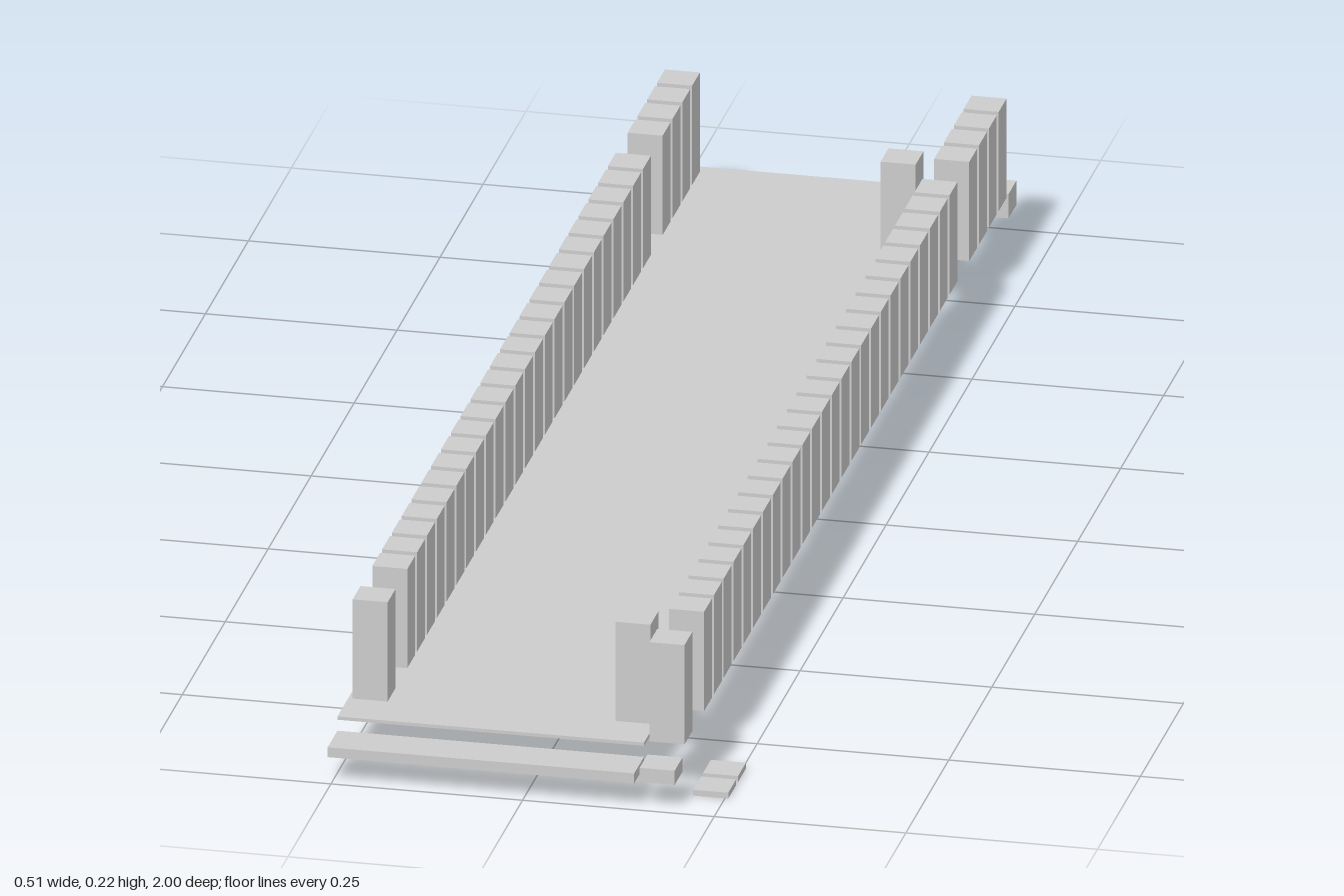
import * as THREE from 'three';

const CELL = 2 / 35;          // grid pitch
const SIZE = CELL * 0.8;      // post footprint
const FLOOR_TOP = 0.0695;
const POST_TOP = 0.206;
const LEFT_EDGE = -0.2543;

const columnX = (j) => LEFT_EDGE + (j + 0.5) * CELL;
const rowZ = (k) => (k - 17) * CELL;

export function createModel() {
  const model = new THREE.Group();
  model.name = 'postLinedWalkway';
  const grey = new THREE.MeshStandardMaterial({ color: 0xcccccc });
  grey.name = 'light grey';

  // Box spanning y0..y1, centred on x and z
  function block(name, x, z, width, depth, y0, y1, parent = model) {
    const mesh = new THREE.Mesh(new THREE.BoxGeometry(width, y1 - y0, depth), grey);
    mesh.name = name;
    mesh.position.set(x, (y0 + y1) / 2, z);
    parent.add(mesh);
  }
  const cell = (name, j, k, y0, y1, parent) =>
    block(name, columnX(j), rowZ(k), SIZE, SIZE, y0, y1, parent);

  // Floor and the lower sill at each end
  const floorX = LEFT_EDGE + 3.5 * CELL;
  block('floor', floorX, 0, 7 * CELL, 33 * CELL, 0.065, FLOOR_TOP);
  block('backSill', floorX, rowZ(0), 7 * CELL, CELL, 0.0365, 0.05);
  block('frontSill', floorX, rowZ(34), 7 * CELL, CELL, 0.0365, 0.05);

  // Rows of posts, each with openings
  function postRow(name, j, first, last, gaps) {
    const row = new THREE.Group();
    row.name = name;
    for (let k = first; k <= last; k++) {
      if (!gaps.includes(k)) cell('post', j, k, FLOOR_TOP, POST_TOP, row);
    }
    model.add(row);
  }
  postRow('rightPosts', 0, 1, 32, [5, 31]);
  postRow('leftPosts', 7, 1, 33, [5, 32]);

  // Posts set inward beside the openings
  cell('tallInnerPost', 6, 5, FLOOR_TOP, 0.22);
  cell('innerPost', 6, 32, FLOOR_TOP, POST_TOP);

  // Low blocks ending the left row
  cell('backLowBlock', 7, 0, 0.0365, 0.07);
  cell('frontLowBlock', 7, 34, 0.0365, 0.056);

  // Ground pads outside the front opening
  for (const k of [32, 33]) cell('groundPad', 8, k, 0, 0.008);

  return model;
}
